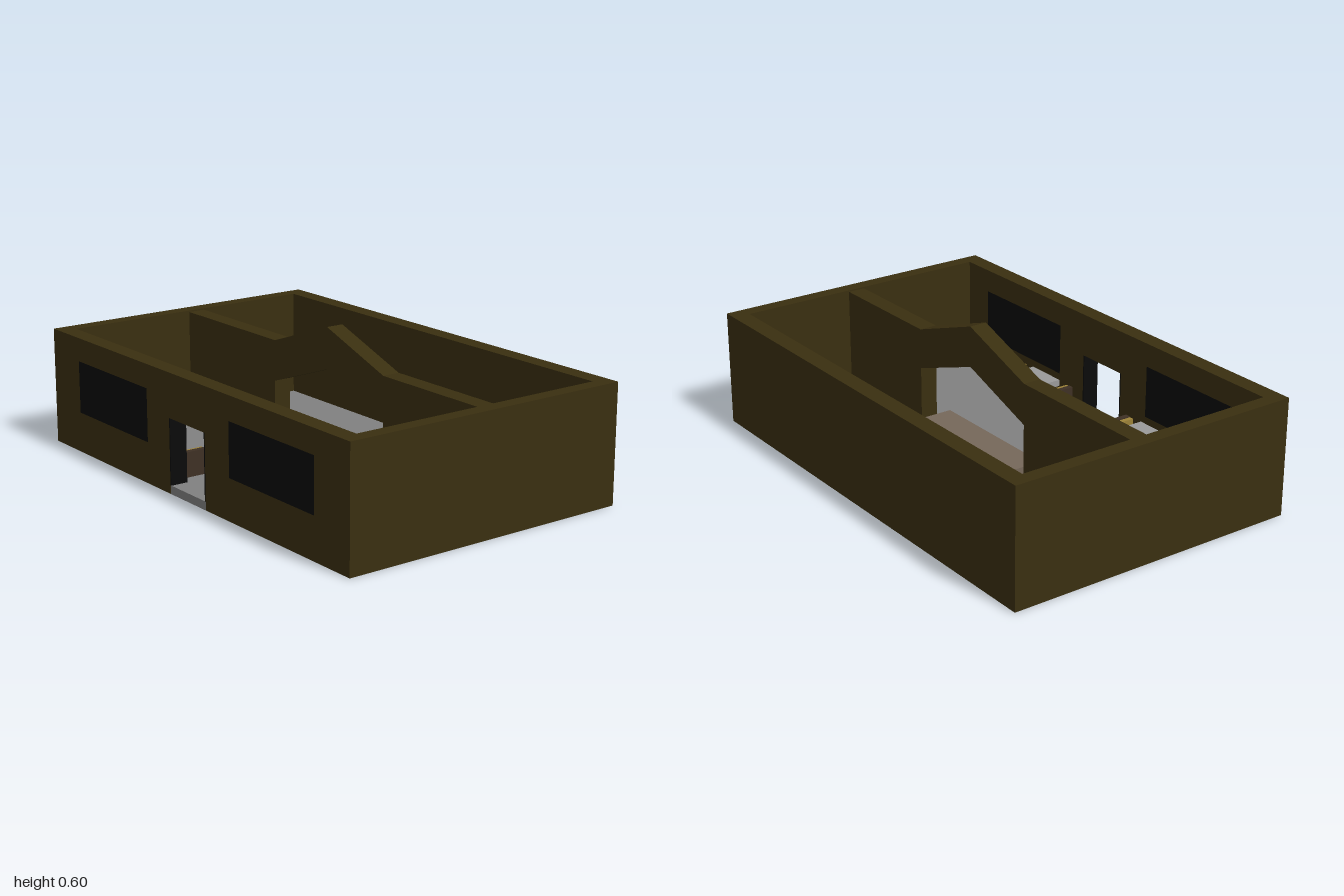
import * as THREE from 'three';

const mat = (color) => new THREE.MeshStandardMaterial({ color, flatShading: true });
const WALL = mat(0x3a2f10), FLOOR = mat(0x808080), BLACK = mat(0x0a0a0a);
const TABLE = mat(0x9a9a9a), CUSHION = mat(0x9c8238), WOOD = mat(0x3e3024), COUNTER = mat(0x76685a);

const X = 0.63, XI = 0.557, Z = 1, ZI = 0.94, H = 0.486, FLOOR_Y = 0.035;

export function createModel() {
  const root = new THREE.Group();

  const add = (parent, name, geometry, material) => {
    const mesh = new THREE.Mesh(geometry, material);
    mesh.name = name;
    parent.add(mesh);
    return mesh;
  };

  // Box given by its minimum and maximum on each axis
  const box = (parent, name, material, x0, x1, y0, y1, z0, z1) => {
    const g = new THREE.BoxGeometry(x1 - x0, y1 - y0, z1 - z0);
    g.translate((x0 + x1) / 2, (y0 + y1) / 2, (z0 + z1) / 2);
    return add(parent, name, g, material);
  };

  // Wall drawn as a (z, y) outline and extruded from x0 to x1
  const points = (list) => list.map(([z, y]) => new THREE.Vector2(z, y));
  const wall = (name, x0, x1, outline, holes) => {
    const shape = new THREE.Shape(points(outline));
    shape.holes = holes.map((h) => new THREE.Path(points(h)));
    const g = new THREE.ExtrudeGeometry(shape, { depth: x1 - x0, bevelEnabled: false });
    g.rotateY(-Math.PI / 2);
    g.translate(x1, 0, 0);
    return add(root, name, g, WALL);
  };

  // Floor slab and plain outer walls
  const e = 0.001;
  box(root, 'floor', FLOOR, -X + e, X - e, 0, FLOOR_Y, -Z + e, Z - e);
  box(root, 'frontWall', WALL, -X, X, e, H, ZI, Z);
  box(root, 'backWall', WALL, -X, X, e, H, -Z, -ZI);
  box(root, 'leftWall', WALL, XI, X, e, H, -ZI, ZI);

  // Right wall with a doorway and two windows
  const door = 0.122, doorTop = 0.305;
  const win = { near: 0.28, far: 0.8, y0: 0.17, y1: 0.388 };
  const windowHole = (s) => [
    [s * win.near, win.y0], [s * win.far, win.y0], [s * win.far, win.y1], [s * win.near, win.y1],
  ];
  wall('rightWall', -X, -XI, [
    [-ZI, e], [-door, e], [-door, doorTop], [door, doorTop], [door, e], [ZI, e], [ZI, H], [-ZI, H],
  ], [windowHole(-1), windowHole(1)]);
  for (const s of [-1, 1]) {
    const [z0, z1] = [s * win.near, s * win.far].sort((a, b) => a - b);
    box(root, 'windowPane', BLACK, -X, -XI, win.y0, win.y1, z0, z1);
    const jamb = s * (door - 0.003);
    box(root, 'doorJamb', BLACK, -X, -XI, FLOOR_Y, doorTop, jamb - 0.003, jamb + 0.003);
  }

  // Gabled partition with a matching gabled opening
  const zPeak = 0.043, half = 0.35, flat = 0.48;
  const zA = zPeak - half, zB = zPeak + half;
  wall('partition', 0, 0.075, [
    [-ZI, FLOOR_Y], [zA, FLOOR_Y], [zA, 0.31], [zPeak, 0.432], [zB, 0.31], [zB, FLOOR_Y],
    [ZI, FLOOR_Y], [ZI, flat], [zB, flat], [zPeak, 0.602], [zA, flat], [-ZI, flat],
  ], []);
  box(root, 'counter', COUNTER, -0.006, 0.116, FLOOR_Y, 0.133, -0.306, 0.306);

  // Bench: dark back panel, back cushion, seat cushion and base; dir is the way it faces in z
  const bench = (zBack, dir, xEnd) => {
    const group = new THREE.Group();
    group.name = 'bench';
    const slab = (name, material, d0, d1, y0, y1) => {
      const [z0, z1] = [zBack + dir * d0, zBack + dir * d1].sort((a, b) => a - b);
      box(group, name, material, -XI, xEnd, y0, y1, z0, z1);
    };
    slab('backPanel', WOOD, 0, 0.023, FLOOR_Y, 0.138);
    slab('backCushion', CUSHION, 0.023, 0.043, 0.08, 0.134);
    slab('seatCushion', CUSHION, 0.043, 0.082, 0.08, 0.098);
    slab('seatBase', WOOD, 0.023, 0.08, FLOOR_Y, 0.08);
    root.add(group);
  };

  // Booths: two benches facing a table, start and end along z
  const booths = [
    [-0.905, -0.532, -0.43], [-0.532, -0.163, -0.43], [0.19, 0.558, -0.443], [0.558, 0.932, -0.443],
  ];
  for (const [z0, z1, xEnd] of booths) {
    bench(z0, 1, xEnd);
    bench(z1, -1, xEnd);
    const c = (z0 + z1) / 2;
    box(root, 'tableTop', TABLE, -XI, -0.465, 0.112, 0.14, c - 0.092, c + 0.092);
    box(root, 'tableLeg', TABLE, -0.525, -0.495, FLOOR_Y, 0.112, c - 0.015, c + 0.015);
  }

  return root;
}
